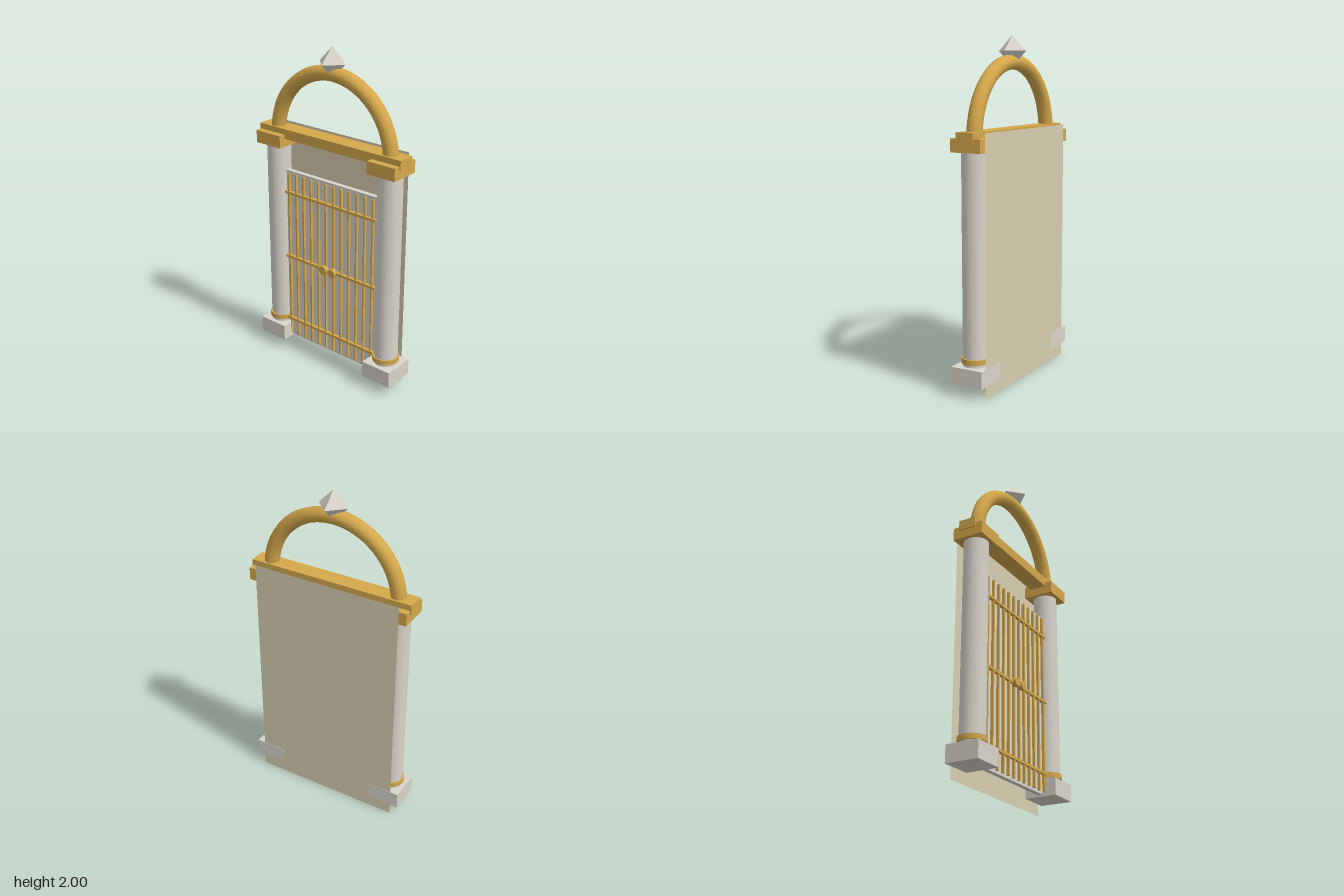
import * as THREE from 'three';

export function createModel() {
  const root = new THREE.Group();
  root.name = 'archedGate';

  const mat = (name, color) => {
    const m = new THREE.MeshStandardMaterial({ color });
    m.name = name;
    return m;
  };
  const gold = mat('gold', 0xd4a84b);
  const stone = mat('paleStone', 0xd8d4cb);
  const sand = mat('sand', 0xd8cfb0);
  sand.side = THREE.DoubleSide;

  const add = (name, geometry, material, x = 0, y = 0, z = 0, parent = root) => {
    const m = new THREE.Mesh(geometry, material);
    m.name = name;
    m.position.set(x, y, z);
    parent.add(m);
    return m;
  };
  const box = (w, h, d) => new THREE.BoxGeometry(w, h, d);

  // Thin wall behind the gate
  add('backWall', new THREE.PlaneGeometry(0.925, 1.47), sand, 0, 0.735, -0.097);

  // Columns with plinth, ring and capital
  for (const side of [-1, 1]) {
    const column = new THREE.Group();
    column.name = side > 0 ? 'leftColumn' : 'rightColumn';
    column.position.x = side * 0.414;
    root.add(column);
    add('plinth', box(0.197, 0.1, 0.197), stone, 0, 0.12, 0, column);
    add('shaft', new THREE.CylinderGeometry(0.072, 0.072, 1.21, 24), stone, 0, 0.77, 0, column);
    add('ring', new THREE.CylinderGeometry(0.081, 0.081, 0.03, 24), gold, 0, 0.202, 0, column);
    add('capital', box(0.187, 0.075, 0.187), gold, 0, 1.403, 0, column);
  }

  // Lintel, arch and finial
  add('lintel', box(1.03, 0.06, 0.105), gold, 0, 1.445, 0);
  add('arch', new THREE.TorusGeometry(0.413, 0.044, 12, 40, Math.PI), gold, 0, 1.435, 0);
  add('finial', new THREE.OctahedronGeometry(0.09), stone, 0, 1.91, 0);

  // Door slab with gold bars and rails
  const door = new THREE.Group();
  door.name = 'door';
  root.add(door);
  add('doorSlab', box(0.69, 1.127, 0.03), stone, 0, 0.643, 0, door);
  for (let i = 0; i < 12; i++) {
    add('verticalBar', box(0.01, 1.1, 0.018), gold, (i - 5.5) * 0.0577, 0.643, 0.022, door);
  }
  for (const y of [0.203, 0.643, 1.07]) {
    add('crossRail', box(0.69, 0.016, 0.022), gold, 0, y, 0.024, door);
  }

  // Pair of round handles
  for (const side of [-1, 1]) {
    const knob = add('handle', new THREE.CylinderGeometry(0.027, 0.027, 0.03, 16), gold, side * 0.033, 0.645, 0.04, door);
    knob.rotation.x = Math.PI / 2;
  }

  return root;
}
